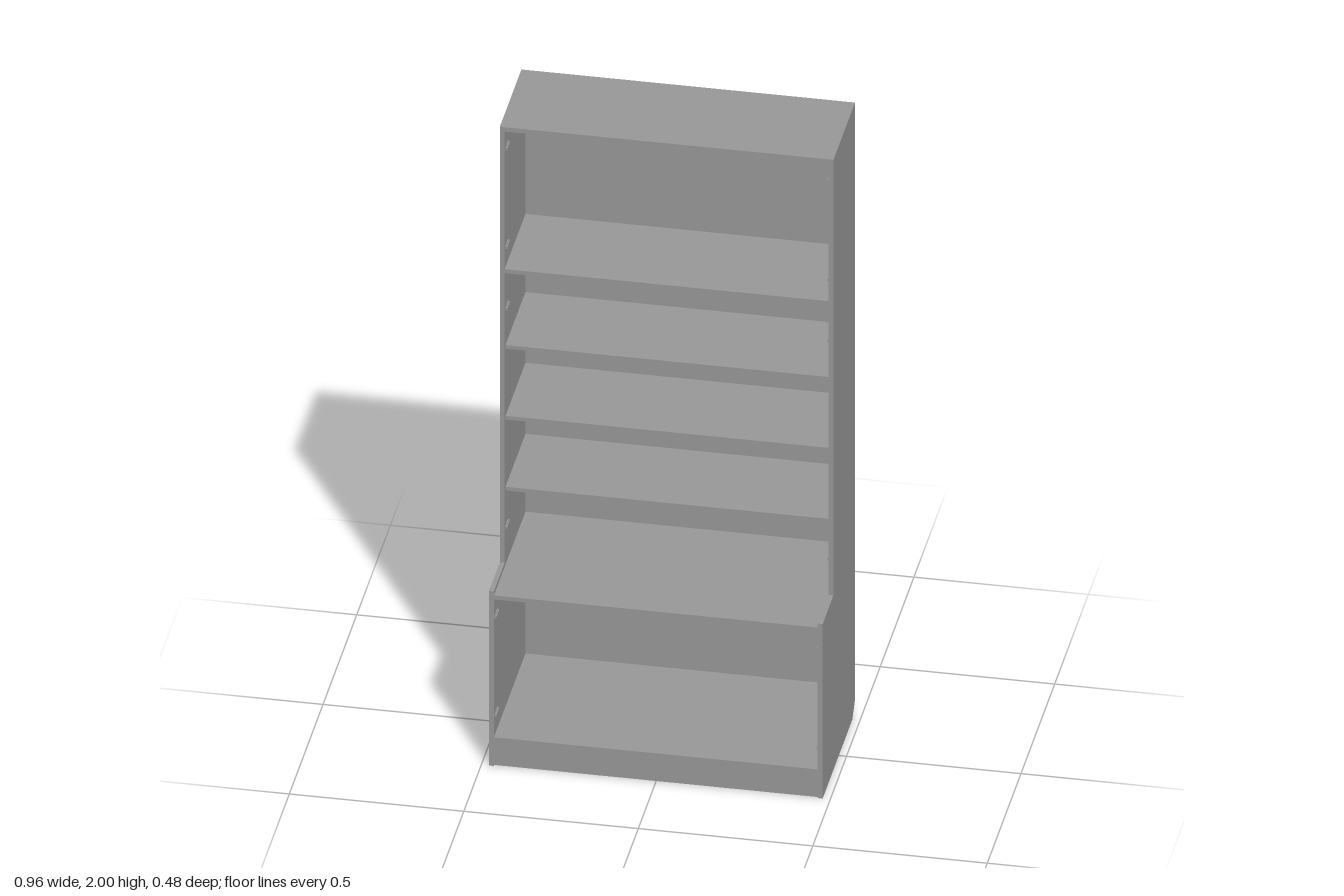
import * as THREE from 'three';

const HALF_W = 0.478, T = 0.014, INNER = HALF_W - T;
const BACK = -0.24, FRONT_UP = 0.08, FRONT_LOW = 0.24;

export function createModel() {
  const group = new THREE.Group();
  const mat = new THREE.MeshStandardMaterial({ color: 0x9a9a9a });

  const add = (name, geo, x = 0, y = 0, z = 0) => {
    const mesh = new THREE.Mesh(geo, mat);
    mesh.name = name;
    mesh.position.set(x, y, z);
    group.add(mesh);
  };
  // Board between the side panels, given by its y and z limits
  const board = (name, y0, y1, z0, z1, halfW = INNER) =>
    add(name, new THREE.BoxGeometry(halfW * 2, y1 - y0, z1 - z0), 0, (y0 + y1) / 2, (z0 + z1) / 2);

  // Stepped side panels with a cut-off rear foot; shape drawn with x = -z
  const profile = new THREE.Shape([
    [-FRONT_LOW, 0], [0.2, 0], [-BACK, 0.042], [-BACK, 2 - T],
    [-FRONT_UP, 2 - T], [-FRONT_UP, 0.572], [-FRONT_LOW, 0.572],
  ].map(([a, b]) => new THREE.Vector2(a, b)));
  for (const [name, x] of [['leftSide', INNER], ['rightSide', -HALF_W]]) {
    const geo = new THREE.ExtrudeGeometry(profile, { depth: T, bevelEnabled: false });
    geo.rotateY(Math.PI / 2);
    add(name, geo, x);
  }

  // Top and fixed boards
  board('top', 2 - T, 2, BACK, FRONT_UP, HALF_W);
  board('upperFixedShelf', 1.522, 1.535, BACK, FRONT_UP);
  board('counter', 0.546, 0.559, BACK + 0.012, FRONT_LOW);
  board('bottomShelf', 0.081, 0.094, BACK, FRONT_LOW);
  board('plinth', 0.001, 0.081, 0.224, 0.236);

  // Loose shelves, set slightly back
  for (const y of [0.802, 1.035, 1.267]) board('looseShelf', y, y + 0.012, BACK + 0.012, 0.068);

  // Recessed back panels
  board('lowerBackPanel', 0.094, 1.522, BACK + 0.007, BACK + 0.012);
  board('upperBackPanel', 1.535, 2 - T, BACK + 0.007, BACK + 0.012);

  // Hinge plates and arms on the inside of both sides
  for (const [y, front] of [[1.922, FRONT_UP], [1.599, FRONT_UP], [1.397, FRONT_UP], [0.682, FRONT_UP],
    [0.481, FRONT_LOW], [0.159, FRONT_LOW]]) {
    for (const s of [-1, 1]) {
      add('hingePlate', new THREE.BoxGeometry(0.003, 0.016, 0.025), s * (INNER - 0.0015), y, front - 0.035);
      add('hingeArm', new THREE.BoxGeometry(0.006, 0.008, 0.04), s * (INNER - 0.003), y, front - 0.03);
    }
  }

  // Pairs of round door catches under the top boards
  for (const [y, front] of [[2 - T, FRONT_UP], [1.522, FRONT_UP], [0.546, FRONT_LOW]]) {
    for (const s of [-1, 1]) {
      const geo = new THREE.CylinderGeometry(0.011, 0.011, 0.03, 16, 1, false, -Math.PI / 2, Math.PI);
      geo.rotateX(Math.PI / 2); // half-round side faces down
      add('doorCatch', geo, s * 0.02, y, front - 0.025);
    }
  }
  return group;
}
